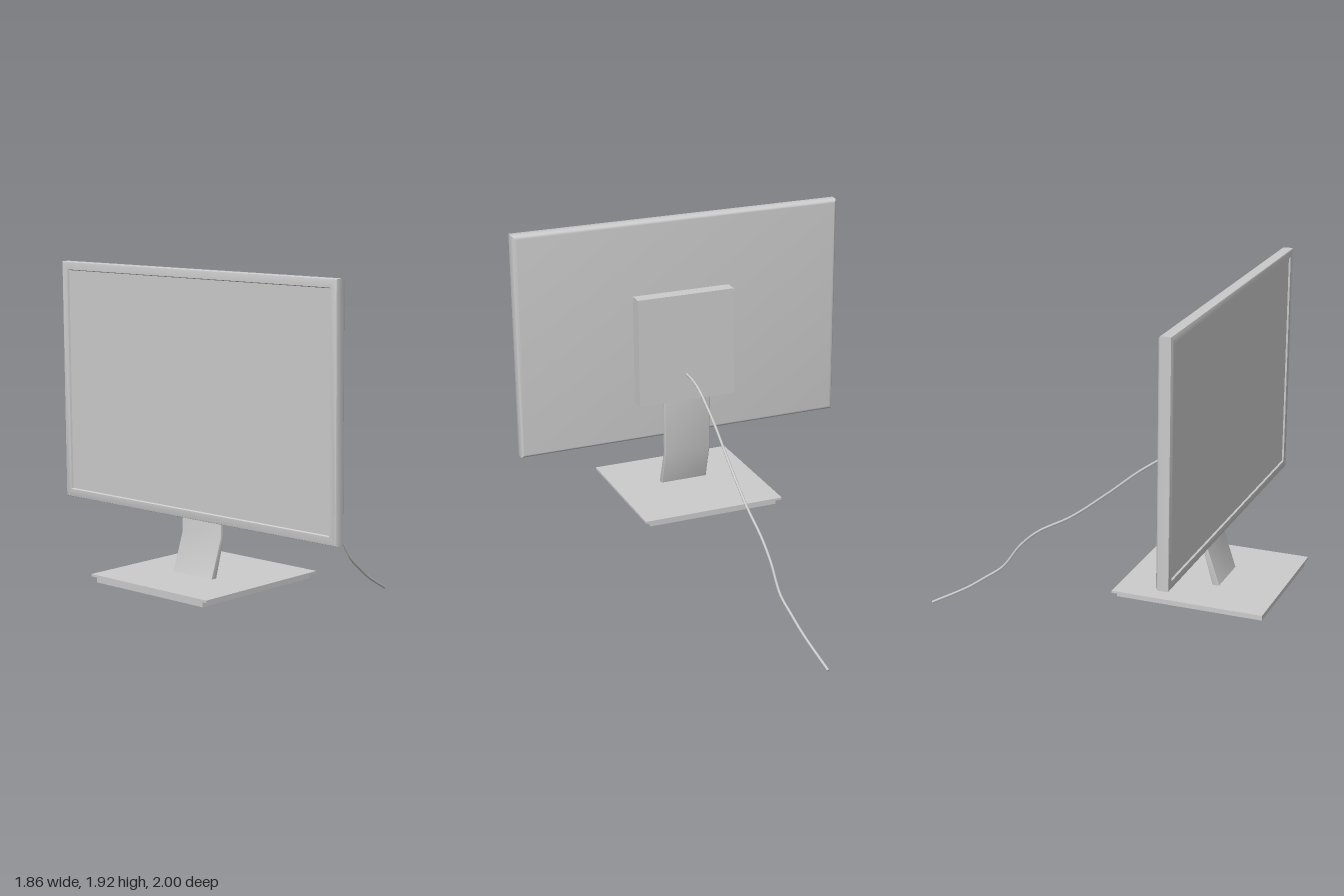
import * as THREE from 'three';
import { toCreasedNormals } from 'three/addons/utils/BufferGeometryUtils.js';

const material = new THREE.MeshStandardMaterial({ color: 0xcccccc });

function addMesh(parent, name, geometry, x = 0, y = 0, z = 0) {
  const mesh = new THREE.Mesh(geometry, material);
  mesh.name = name;
  mesh.position.set(x, y, z);
  parent.add(mesh);
  return mesh;
}

// Joins rectangular rings [halfWidth, halfHeight, z], ordered from back to front
function rectLoft(rings) {
  const signs = [[-1, -1], [1, -1], [1, 1], [-1, 1]];
  const positions = [];
  const corner = ([w, h, z], j) => [signs[j % 4][0] * w, signs[j % 4][1] * h, z];
  for (let k = 0; k < rings.length - 1; k++) {
    for (let j = 0; j < 4; j++) {
      const a = corner(rings[k], j), b = corner(rings[k], j + 1);
      const c = corner(rings[k + 1], j + 1), d = corner(rings[k + 1], j);
      if (rings[k][0] > 0) positions.push(...a, ...b, ...c);
      positions.push(...a, ...c, ...d);
    }
  }
  const geometry = new THREE.BufferGeometry();
  geometry.setAttribute('position', new THREE.Float32BufferAttribute(positions, 3));
  geometry.computeVertexNormals();
  return toCreasedNormals(geometry, 0.6);
}

export function createModel() {
  const model = new THREE.Group();
  model.name = 'monitorWithCable';

  // The display and its stand are turned slightly about the vertical
  const monitor = new THREE.Group();
  monitor.name = 'monitor';
  monitor.position.z = 0.652;
  monitor.rotation.y = 0.0187;
  model.add(monitor);

  // Panel housing: rounded back edges, bezel, and recessed opening
  const W = 0.929, H = 0.618, D = 0.034, R = 0.022, bezel = 0.045;
  const rings = [[0, 0, -D]];
  for (let i = 0; i <= 5; i++) {
    const t = (i / 5) * Math.PI / 2;
    const inset = R * (1 - Math.sin(t));
    rings.push([W - inset, H - inset, -D + R * (1 - Math.cos(t))]);
  }
  const front = [[0, 0.006], [0.002, 0.002], [0.006, 0], [bezel - 0.004, 0], [bezel, 0.009]];
  for (const [inset, depth] of front) rings.push([W - inset, H - inset, D - depth]);
  const panelY = 1.307;
  addMesh(monitor, 'panelHousing', rectLoft(rings), 0, panelY, 0);
  addMesh(monitor, 'screen', new THREE.PlaneGeometry(2 * (W - bezel), 2 * (H - bezel)),
    0, panelY, D - 0.009);

  // Rear electronics box
  addMesh(monitor, 'rearBox', new THREE.BoxGeometry(0.555, 0.605, 0.085), 0, 1.217, -0.07);

  // Bent neck: side profile (z, y) extruded across the width
  const profile = new THREE.Shape([
    [0.022, 0.396], [-0.046, 0.598], [-0.048, 1.0],
    [-0.072, 1.0], [-0.073, 0.602], [-0.014, 0.396],
  ].map(([z, y]) => new THREE.Vector2(z, y)));
  const bevel = 0.004;
  const neckWidth = 0.267;
  const neck = new THREE.ExtrudeGeometry(profile, {
    depth: neckWidth - 2 * bevel, bevelThickness: bevel, bevelSize: bevel,
    bevelOffset: -bevel, bevelSegments: 3,
  });
  neck.translate(0, 0, -neckWidth / 2 + bevel);
  neck.rotateY(-Math.PI / 2);
  addMesh(monitor, 'neck', toCreasedNormals(neck, 0.6), -0.015, 0, 0);

  // Base: thin overhanging plate on a smaller slab
  addMesh(monitor, 'basePlate', new THREE.BoxGeometry(0.8, 0.012, 0.798), -0.013, 0.394, -0.064);
  addMesh(monitor, 'baseSlab', new THREE.BoxGeometry(0.737, 0.029, 0.772), -0.014, 0.3745, -0.06);

  // Trailing power cable
  const path = new THREE.CatmullRomCurve3([
    [0, 1.065, 0.55], [-0.002, 1.058, 0.46], [-0.005, 1.035, 0.38],
    [-0.015, 0.92, 0.2], [-0.025, 0.755, 0], [-0.035, 0.6, -0.2],
    [-0.045, 0.482, -0.4], [-0.052, 0.39, -0.5], [-0.061, 0.255, -0.6],
    [-0.082, 0.18, -0.7], [-0.104, 0.112, -0.8], [-0.148, 0.007, -0.998],
  ].map((p) => new THREE.Vector3(...p)));
  const cableRadius = 0.007;
  addMesh(model, 'cable', new THREE.TubeGeometry(path, 80, cableRadius, 10));
  const end = addMesh(model, 'cableEnd', new THREE.CircleGeometry(cableRadius, 10));
  end.position.copy(path.getPoint(1));
  end.lookAt(path.getPoint(1).add(path.getTangent(1)));

  return model;
}
